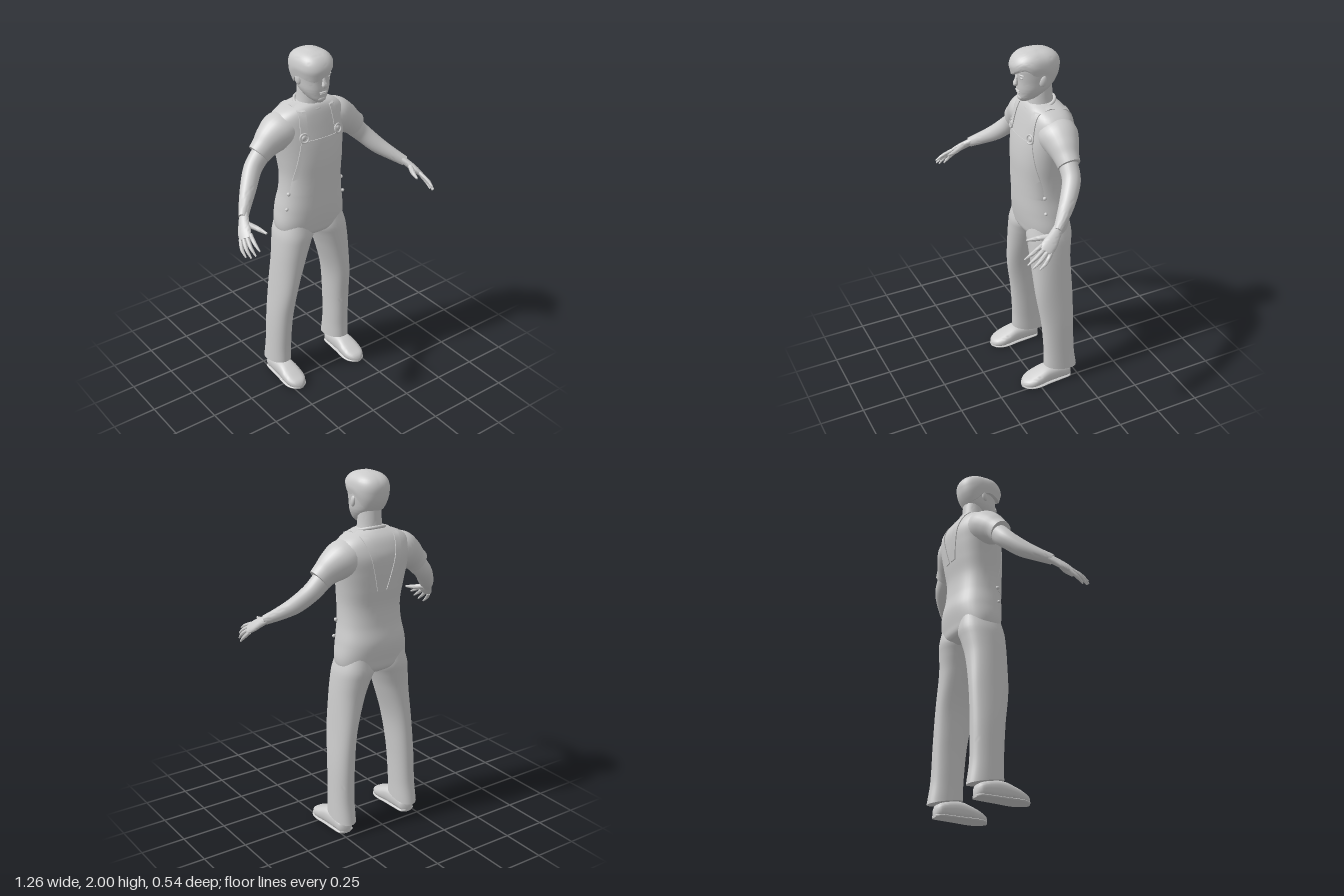
import * as THREE from 'three';
import { toCreasedNormals } from 'three/addons/utils/BufferGeometryUtils.js';

const V = (x, y, z) => new THREE.Vector3(x, y, z);
const grey = new THREE.MeshStandardMaterial({ color: 0xcccccc });
grey.name = 'light grey';

// Smooth interpolation of rows [key, a, b, ...] at a key value
function at(rows, k) {
  const n = rows.length - 1;
  const up = rows[n][0] > rows[0][0] ? 1 : -1;
  let i = 0;
  while (i < n - 1 && (k - rows[i + 1][0]) * up > 0) i++;
  const p = rows[i], q = rows[i + 1], h = q[0] - p[0];
  const t = THREE.MathUtils.clamp((k - p[0]) / h, 0, 1);
  const slope = (j, c) => {
    const a = rows[Math.max(j - 1, 0)], b = rows[Math.min(j + 1, n)];
    return (b[c] - a[c]) / (b[0] - a[0]);
  };
  return p.map((v, c) => c === 0 ? k :
    v * (1 + 2 * t) * (1 - t) ** 2 + q[c] * t * t * (3 - 2 * t) +
    slope(i, c) * h * t * (1 - t) ** 2 + slope(i + 1, c) * h * t * t * (t - 1));
}

// Closed solid through a list of rings with equal point counts
function loft(rings, crease = 1) {
  const m = rings[0].length, pts = rings.flat(), idx = [];
  for (let i = 0; i < rings.length - 1; i++)
    for (let j = 0; j < m; j++) {
      const a = i * m + j, b = i * m + (j + 1) % m;
      idx.push(a, b, b + m, a, b + m, a + m);
    }
  for (const [r, flip] of [[0, true], [rings.length - 1, false]]) {
    const c = pts.length, mid = V(0, 0, 0);
    rings[r].forEach(p => mid.addScaledVector(p, 1 / m));
    pts.push(mid);
    for (let j = 0; j < m; j++) {
      const a = r * m + j, b = r * m + (j + 1) % m;
      flip ? idx.push(c, b, a) : idx.push(c, a, b);
    }
  }
  // Keep the faces turned outward
  let vol = 0;
  for (let i = 0; i < idx.length; i += 3)
    vol += pts[idx[i]].dot(pts[idx[i + 1]].clone().cross(pts[idx[i + 2]]));
  if (vol < 0) idx.reverse();
  const g = new THREE.BufferGeometry().setFromPoints(pts);
  g.setIndex(idx);
  return toCreasedNormals(g, crease);
}

const spow = (v, e) => Math.sign(v) * Math.abs(v) ** e;
// Horizontal rounded section; angle 0 faces the front
function section(y, x0, x1, zf, zb, n = 2.3, m = 40, tilt = 0) {
  return Array.from({ length: m }, (_, j) => {
    const a = j / m * Math.PI * 2, cz = spow(Math.cos(a), 2 / n) * (zf - zb) / 2;
    return V((x0 + x1) / 2 + spow(Math.sin(a), 2 / n) * (x1 - x0) / 2, y + tilt * cz, (zf + zb) / 2 + cz);
  });
}

// Tapered limb: sections [x, y, z, wide radius, thin radius]
function limb(secs, s, wide, m = 20, steps = 5) {
  const rows = secs.map((q, i) => [i, ...q]), rings = [], total = (secs.length - 1) * steps;
  const point = k => { const r = at(rows, k); return V(r[1] * s, r[2], r[3]); };
  const w = V(wide[0] * s, wide[1], wide[2]);
  for (let i = 0; i <= total; i++) {
    const k = i / steps, r = at(rows, k), c = point(k);
    const t = point(Math.min(k + 0.1, secs.length - 1)).sub(point(Math.max(k - 0.1, 0))).normalize();
    const u = w.clone().addScaledVector(t, -w.dot(t)).normalize(), v = t.clone().cross(u);
    rings.push(Array.from({ length: m }, (_, j) => {
      const a = j / m * Math.PI * 2;
      return c.clone().addScaledVector(u, Math.cos(a) * r[4]).addScaledVector(v, Math.sin(a) * r[5]);
    }));
  }
  return loft(rings);
}

// Body profiles: [y, half width, front z, back z]
const TORSO = [[0.92, 0.1, -0.05, -0.19], [0.95, 0.185, -0.005, -0.237], [1, 0.211, 0.01, -0.25],
  [1.1, 0.2, 0.023, -0.262], [1.2, 0.182, 0.027, -0.245], [1.3, 0.177, 0.029, -0.24],
  [1.4, 0.188, 0.03, -0.255], [1.5, 0.205, 0.02, -0.268], [1.58, 0.22, 0.003, -0.27],
  [1.64, 0.212, -0.012, -0.25], [1.68, 0.165, -0.025, -0.225], [1.705, 0.095, -0.04, -0.195], [1.715, 0.06, -0.06, -0.18]];
const HEAD = [[1.728, 0.02, 0.003, -0.05], [1.745, 0.043, 0.013, -0.09], [1.77, 0.062, 0.016, -0.13],
  [1.8, 0.076, 0.02, -0.165], [1.84, 0.083, 0.022, -0.19], [1.88, 0.088, 0.026, -0.2],
  [1.92, 0.089, 0.028, -0.203], [1.955, 0.078, 0.01, -0.185], [1.978, 0.05, -0.025, -0.145], [1.988, 0.012, -0.07, -0.1]];
const LEG = [[1.03, 0.02, 0.19, -0.01, -0.235], [0.95, 0.0, 0.217, 0.008, -0.246], [0.9, 0.02, 0.225, 0.008, -0.238],
  [0.8, 0.058, 0.235, 0.005, -0.226], [0.6, 0.118, 0.25, -0.005, -0.228], [0.4, 0.14, 0.265, -0.035, -0.23],
  [0.2, 0.148, 0.272, -0.05, -0.235], [0.085, 0.148, 0.276, -0.05, -0.253]];
const NECK = [[1.65, 0.078, -0.04, -0.19], [1.72, 0.066, -0.045, -0.18], [1.78, 0.062, -0.05, -0.175], [1.83, 0.06, -0.06, -0.17]];

const stack = (rows, n, count) => loft(Array.from({ length: count + 1 }, (_, i) => {
  const r = at(rows, THREE.MathUtils.lerp(rows[0][0], rows[rows.length - 1][0], i / count));
  return section(r[0], -r[1], r[1], r[2], r[3], n);
}));

// Point on the torso front (side 1) or back (side -1)
function onTorso(x, y, side) {
  const [, w, f, b] = at(TORSO, y), n = 2.3;
  const k = Math.max(0, 1 - Math.abs(x / w) ** n) ** (1 / n);
  return V(x, y, (f + b) / 2 + side * k * (f - b) / 2);
}

// Thin cloth laid on the torso, from rows of surface points
function cloth(rows, thick) {
  const shift = (p, d) => p.clone().addScaledVector(
    V(0, p.y - Math.min(p.y, 1.58), p.z + 0.115).normalize(), d);
  return loft(rows.map(r => [...r.map(p => shift(p, thick)), ...r.map(p => shift(p, -0.012)).reverse()]), 0.7);
}

// Hair cap with a side-swept fringe; rows are [angle in degrees, lower edge y]
function hairCap() {
  const edge = [[-180, 1.8], [-120, 1.82], [-85, 1.87], [-50, 1.862], [-25, 1.858], [0, 1.882],
    [30, 1.912], [50, 1.915], [70, 1.885], [90, 1.87], [120, 1.82], [180, 1.8]];
  const rings = [], m = 48, n = 18;
  for (let i = 0; i <= n; i++) rings.push(Array.from({ length: m }, (_, j) => {
    const a = j / m * Math.PI * 2 - Math.PI, t = Math.sin(i / n * Math.PI / 2);
    const low = at(edge, a * 180 / Math.PI)[1], y = low + (1.988 - low) * t;
    const [, w, f, b] = at(HEAD, y), front = Math.max(0, Math.cos(a));
    const grow = (0.003 + 0.007 * Math.min(1, i / 4)) + 0.014 * front;
    return V(-0.006 + spow(Math.sin(a), 0.87) * (w + grow), y + 0.012 * t,
      (f + b) / 2 + spow(Math.cos(a), 0.87) * ((f - b) / 2 + grow));
  }));
  return loft(rings);
}

// Shoe along z: rows [z, half width, height]
const SHOE = [[-0.212, 0.02, 0.05], [-0.2, 0.042, 0.07], [-0.14, 0.05, 0.095], [-0.06, 0.055, 0.1],
  [0, 0.061, 0.08], [0.05, 0.057, 0.058], [0.085, 0.036, 0.042], [0.098, 0.012, 0.026]];
const shoe = (s, grow, height) => loft(Array.from({ length: 25 }, (_, i) => {
  const [z, w, h] = at(SHOE, -0.212 + 0.31 * i / 24), top = height || h;
  return Array.from({ length: 24 }, (_, j) => {
    const a = j / 24 * Math.PI * 2;
    return V(s * 0.215 + spow(Math.cos(a), 0.75) * (w + grow), top / 2 + spow(Math.sin(a), 0.75) * top / 2, z);
  });
}));

export function createModel() {
  const model = new THREE.Group();
  model.name = 'man in overalls';
  const add = (name, geo, pos, scale, rot) => {
    const mesh = new THREE.Mesh(geo, grey);
    mesh.name = name;
    if (pos) mesh.position.set(...pos);
    if (scale) mesh.scale.set(...scale);
    if (rot) mesh.rotation.set(...rot);
    model.add(mesh);
  };
  const ball = new THREE.SphereGeometry(1, 20, 14);

  // Trunk, neck and head
  add('torso', stack(TORSO, 2.3, 70));
  add('neck', stack(NECK, 2, 12));
  add('collar', new THREE.TorusGeometry(0.08, 0.009, 10, 40), [0, 1.7, -0.11], null, [Math.PI / 2 + 0.27, 0, 0]);
  add('head', stack(HEAD, 2.2, 40));
  add('hair', hairCap());

  // Face
  add('nose', limb([[0, 1.875, 0.02, 0.008, 0.006], [0, 1.85, 0.026, 0.01, 0.01],
    [0, 1.828, 0.03, 0.016, 0.014], [0, 1.818, 0.024, 0.008, 0.006]], 1, [1, 0, 0], 14));
  add('upperLip', ball, [0, 1.789, 0.018], [0.024, 0.005, 0.008]);
  add('lowerLip', ball, [0, 1.78, 0.016], [0.02, 0.006, 0.008]);
  add('chin', ball, [0, 1.75, 0.004], [0.026, 0.016, 0.014]);

  // Bib
  const bibRows = [];
  for (let i = 0; i <= 14; i++) {
    const y = 1.2 + 0.33 * i / 14, w = 0.17 - 0.045 * (i / 14) ** 1.5;
    bibRows.push(Array.from({ length: 17 }, (_, j) => onTorso(w * (j / 8 - 1), y, 1)));
  }
  add('bib', cloth(bibRows, 0.004));

  for (const s of [1, -1]) {
    const side = s > 0 ? 'left' : 'right';
    add(side + 'Eye', ball, [s * 0.034, 1.867, 0.013], [0.014, 0.006, 0.008]);
    add(side + 'Brow', ball, [s * 0.036, 1.883, 0.015], [0.022, 0.005, 0.008], [0, s * 0.25, 0]);
    add(side + 'Ear', ball, [s * 0.085, 1.85, -0.085], [0.012, 0.031, 0.019], [-0.2, s * -0.3, 0]);

    // Strap running from the bib over the shoulder to the middle of the back
    const line = [];
    for (let i = 0; i <= 8; i++) line.push([0.11 - 0.012 * i / 8, 1.53 + 0.15 * i / 8, 1]);
    for (let i = 0; i <= 14; i++) line.push([0.098 - 0.07 * i / 14, 1.68 - 0.28 * i / 14, -1]);
    const rows = line.map(([x, y, f]) => [-0.02, 0, 0.02].map(d => onTorso(s * (x + d), y, f)));
    rows.splice(9, 0, [-0.02, 0, 0.02].map(d => V(s * (0.098 + d), 1.704 - d * 0.3, -0.11)));
    add(side + 'Strap', cloth(rows, 0.005));
    const b = onTorso(s * 0.11, 1.55, 1);
    add(side + 'Buckle', new THREE.TorusGeometry(0.024, 0.005, 8, 20), [b.x, b.y, b.z + 0.006], null, [-0.2, s * 0.25, 0]);
    add(side + 'BibButton', ball, [b.x, b.y, b.z + 0.004], [0.014, 0.014, 0.007]);
    add(side + 'UpperHipButton', ball, [s * 0.178, 1.215, -0.055], [0.01, 0.011, 0.011]);
    add(side + 'LowerHipButton', ball, [s * 0.191, 1.125, -0.055], [0.01, 0.009, 0.009]);

    // Sleeve and arm
    add(side + 'Sleeve', limb([[0.11, 1.59, -0.13, 0.085, 0.1], [0.18, 1.568, -0.13, 0.1, 0.105],
      [0.24, 1.535, -0.125, 0.088, 0.085], [0.285, 1.502, -0.12, 0.072, 0.067],
      [0.32, 1.473, -0.118, 0.066, 0.059]], s, [0.6, 0.8, 0], 28));
    add(side + 'Arm', limb([[0.27, 1.505, -0.12, 0.055, 0.052], [0.32, 1.455, -0.118, 0.054, 0.05],
      [0.37, 1.405, -0.105, 0.05, 0.048], [0.43, 1.34, -0.055, 0.046, 0.043],
      [0.49, 1.29, 0.005, 0.036, 0.034], [0.542, 1.25, 0.063, 0.028, 0.023]], s, [0.6, 0.8, 0], 24));

    // Hand
    const across = [-0.5, 0.45, 0.6];
    add(side + 'Palm', limb([[0.53, 1.26, 0.05, 0.026, 0.02], [0.553, 1.235, 0.085, 0.031, 0.02],
      [0.575, 1.208, 0.122, 0.039, 0.018], [0.592, 1.184, 0.157, 0.036, 0.012]], s, across));
    const fingers = {
      IndexFinger: [[0.567, 1.207, 0.165], [0.577, 1.182, 0.22], [0.577, 1.158, 0.266]],
      MiddleFinger: [[0.583, 1.195, 0.157], [0.597, 1.163, 0.212], [0.595, 1.132, 0.256]],
      RingFinger: [[0.596, 1.184, 0.146], [0.611, 1.148, 0.194], [0.609, 1.114, 0.234]],
      LittleFinger: [[0.604, 1.173, 0.13], [0.62, 1.137, 0.165], [0.62, 1.106, 0.2]],
      Thumb: [[0.55, 1.235, 0.1], [0.52, 1.222, 0.16], [0.502, 1.214, 0.218]],
    };
    for (const [name, [p, q, r]] of Object.entries(fingers)) {
      const w = name === 'Thumb' ? 0.015 : 0.011;
      add(side + name, limb([[...p, w, w], [...q, w * 0.9, w * 0.9], [...r, w * 0.4, w * 0.4]], s, across, 10, 4));
    }

    // Trouser leg with a slanted hem, and shoe
    const rings = [];
    for (let i = 0; i <= 50; i++) {
      const r = at(LEG, 1.03 - 0.945 * i / 50), hem = Math.max(0, i - 40) / 10;
      rings.push(section(r[0], s * r[1], s * r[2], r[3], r[4], 2.2, 36, hem * 0.2));
    }
    add(side + 'TrouserLeg', loft(rings));
    add(side + 'Shoe', shoe(s, 0));
    add(side + 'Sole', shoe(s, 0.004, 0.016));
  }
  return model;
}
